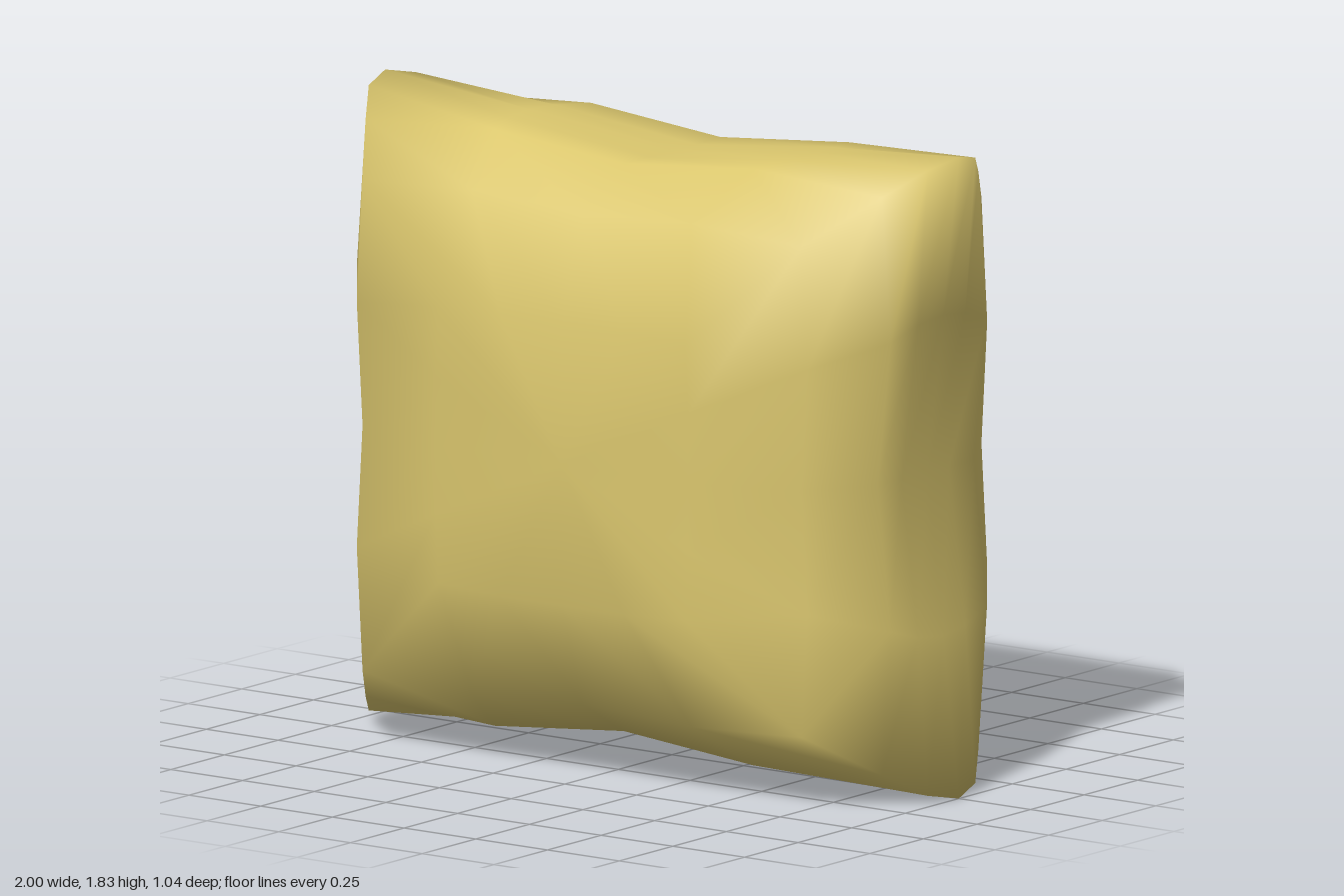
import * as THREE from 'three';

const HEIGHT_RATIO = 0.915;
const CENTRE_Y = 0.915;

// Half of the pillow, from the flat of the front out to the seam:
// depth, and the half-width at corner, quarter and middle of each side.
const HALF = [
  [0.515, 0.43, 0.44, 0.44],
  [0.42, 0.765, 0.785, 0.765],
  [0.225, 0.9, 0.93, 0.885],
  [0.11, 0.975, 0.94, 0.883],
  [0, 1, 0.945, 0.89],
];

// One closed loop of 16 points, built from one side turned four times
function ringPoints([z, corner, quarter, middle]) {
  const side = [[corner, -corner], [quarter, -corner / 2], [middle, 0], [quarter, corner / 2]];
  const points = [];
  for (let s = 0; s < 4; s++) {
    for (const [u, v] of side) {
      const [x, y] = [[u, v], [-v, u], [-u, -v], [v, -u]][s];
      points.push([x, CENTRE_Y + y * HEIGHT_RATIO, z]);
    }
  }
  return points;
}

function pillowGeometry() {
  const back = HALF.slice(0, -1).reverse().map(([z, ...widths]) => [-z, ...widths]);
  const rings = [...HALF, ...back].map(ringPoints);
  const n = 16;
  const positions = rings.flat(2);
  const index = [];

  // Skin between neighbouring rings
  for (let k = 0; k < rings.length - 1; k++) {
    for (let i = 0; i < n; i++) {
      const j = (i + 1) % n;
      const a = k * n + i, b = k * n + j, c = (k + 1) * n + i, d = (k + 1) * n + j;
      index.push(a, c, d, a, d, b);
    }
  }

  // Nearly flat middles of the front and back
  const front = rings.length * n;
  const last = (rings.length - 1) * n;
  positions.push(0, CENTRE_Y, 0.518, 0, CENTRE_Y, -0.518);
  for (let i = 0; i < n; i++) {
    const j = (i + 1) % n;
    index.push(front, i, j, front + 1, last + j, last + i);
  }

  const geometry = new THREE.BufferGeometry();
  geometry.setAttribute('position', new THREE.Float32BufferAttribute(positions, 3));
  geometry.setIndex(index);
  geometry.computeVertexNormals();
  return geometry;
}

export function createModel() {
  const group = new THREE.Group();
  group.name = 'pillow';
  const fabric = new THREE.MeshStandardMaterial({ color: 0xdbc76e });
  fabric.name = 'yellow fabric';
  const cushion = new THREE.Mesh(pillowGeometry(), fabric);
  cushion.name = 'cushion';
  group.add(cushion);
  return group;
}
